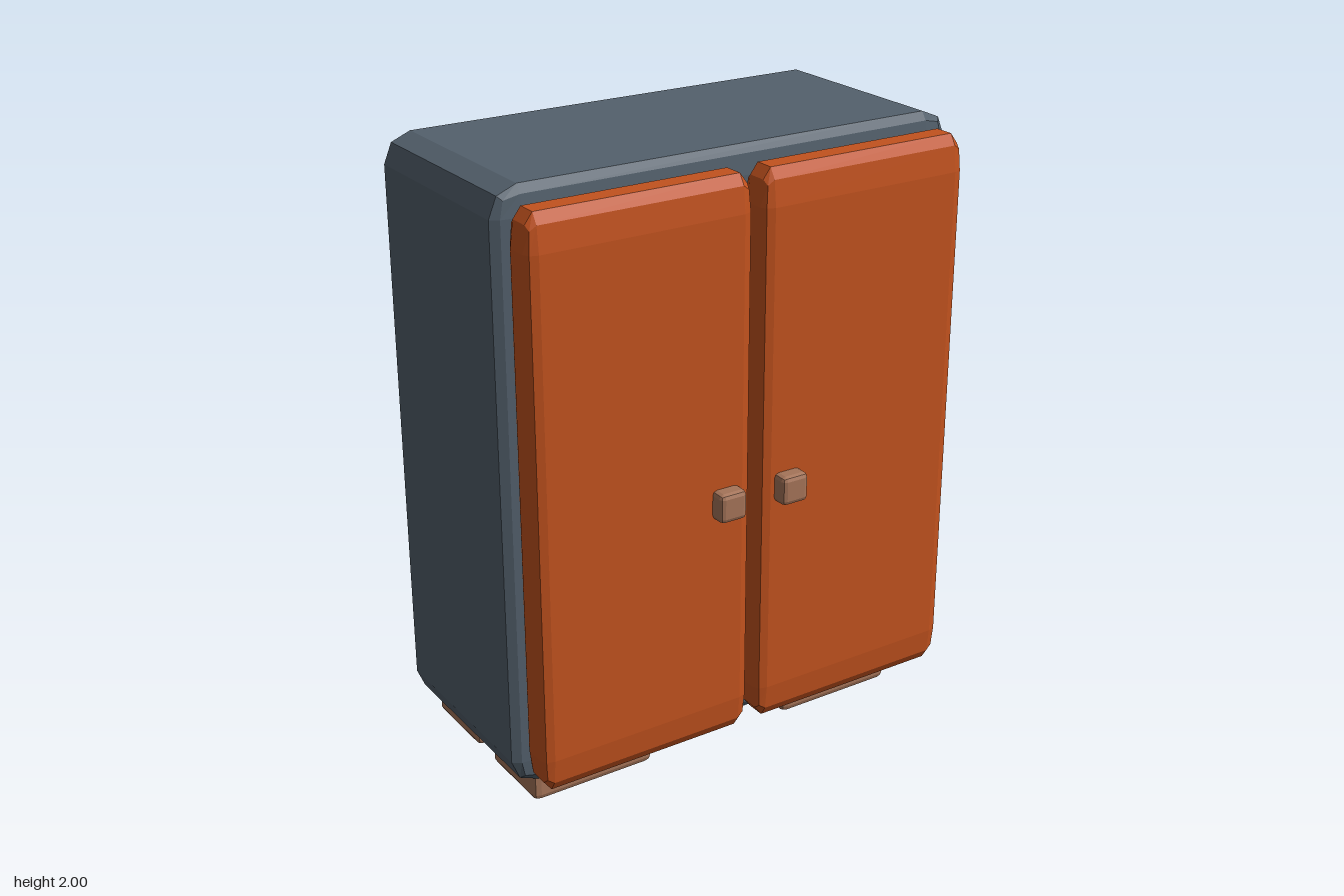
import * as THREE from 'three';
import { RoundedBoxGeometry } from 'three/addons/geometries/RoundedBoxGeometry.js';

const paint = (color) => new THREE.MeshStandardMaterial({ color, flatShading: true });

// Box between two corners with a two-step bevel; the bevel radius differs per axis.
function bevelBox(name, min, max, bevel, material) {
  const size = max.map((v, i) => v - min[i]);
  const [w, h, d] = size.map((s, i) => s / bevel[i]);
  const geometry = new RoundedBoxGeometry(w, h, d, 1, 1);
  geometry.scale(...bevel);
  const mesh = new THREE.Mesh(geometry, material);
  mesh.name = name;
  mesh.position.set(...min.map((v, i) => v + size[i] / 2));
  return mesh;
}

export function createModel() {
  const group = new THREE.Group();
  group.name = 'wardrobe';
  const slate = paint(0x53606c);
  const orange = paint(0xc2521e);
  const wood = paint(0xa57459);

  // Cabinet body
  group.add(bevelBox('cabinetBody', [-0.8, 0.085, -0.445], [0.8, 2, 0.262], [0.09, 0.09, 0.025], slate));

  // Doors with knobs near the central gap
  const doors = [
    { side: 'right', x: -0.77, knobX: -0.168 },
    { side: 'left', x: 0.01, knobX: 0.06 },
  ];
  for (const { side, x, knobX } of doors) {
    group.add(bevelBox(side + 'Door', [x, 0.127, 0.27], [x + 0.745, 1.957, 0.395], [0.036, 0.115, 0.03], orange));
    group.add(bevelBox(side + 'Knob', [knobX, 0.9, 0.35], [knobX + 0.094, 0.995, 0.445], [0.015, 0.015, 0.015], wood));
  }

  // Four block feet
  for (const [side, x] of [['right', -0.725], ['left', 0.225]]) {
    for (const [end, z] of [['front', -0.042], ['back', -0.42]]) {
      group.add(bevelBox(end + side[0].toUpperCase() + side.slice(1) + 'Foot',
        [x, 0, z], [x + 0.435, 0.12, z + 0.28], [0.025, 0.02, 0.018], wood));
    }
  }
  return group;
}
